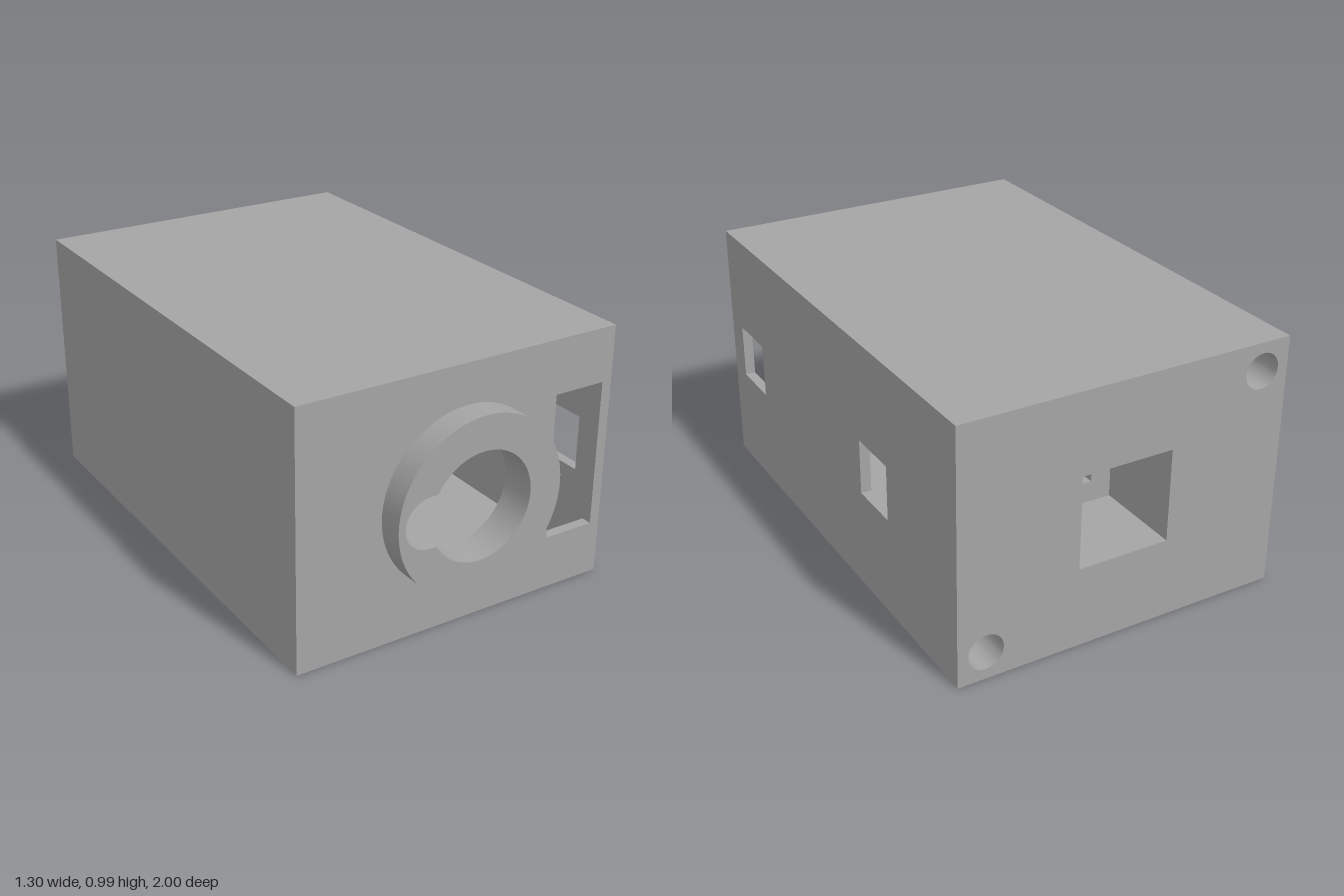
import * as THREE from 'three';
import { toCreasedNormals } from 'three/addons/utils/BufferGeometryUtils.js';

const W = 1.3, H = 0.987, T = 0.04;          // outer width, height, wall thickness
const BACK = -1, FRONT = 0.902;              // ends of the case
const CY = 0.494;                            // height of the central openings
const material = new THREE.MeshStandardMaterial({ color: 0xa5a5a5 });

// Closed rectangle between two corners
function rect(x0, y0, x1, y1, Type = THREE.Path) {
  const p = new Type();
  p.moveTo(x0, y0);
  p.lineTo(x1, y0);
  p.lineTo(x1, y1);
  p.lineTo(x0, y1);
  p.closePath();
  return p;
}

const square = (half, Type) => rect(-half, CY - half, half, CY + half, Type);

function circle(x, y, r, Type = THREE.Path) {
  const p = new Type();
  p.absarc(x, y, r, 0, Math.PI * 2, false);
  return p;
}

// Round bore with a rounded notch on its -x side
function keyhole() {
  const cx = 0.02, r = 0.208, notch = 0.098;
  const a = Math.PI - Math.asin(notch / r);
  const p = new THREE.Path();
  p.absarc(cx, CY, r, -a, a, false);
  p.absarc(-0.193, CY, notch, Math.PI / 2, Math.PI * 1.5, false);
  p.closePath();
  return p;
}

// Flat plate with holes, standing between two z values
function plate(shape, holes, z0, z1) {
  shape.holes.push(...holes);
  const g = new THREE.ExtrudeGeometry(shape, { depth: z1 - z0, bevelEnabled: false, curveSegments: 36 });
  g.translate(0, 0, z0);
  return toCreasedNormals(g, 0.6);
}

function block(x0, y0, z0, x1, y1, z1) {
  const g = new THREE.BoxGeometry(x1 - x0, y1 - y0, z1 - z0);
  g.translate((x0 + x1) / 2, (y0 + y1) / 2, (z0 + z1) / 2);
  return g;
}

export function createModel() {
  const model = new THREE.Group();
  model.name = 'hollowCase';
  const add = (name, geometry) => {
    const m = new THREE.Mesh(geometry, material);
    m.name = name;
    model.add(m);
  };
  const x = W / 2, zb = BACK + T, zf = FRONT - T;
  const outline = () => rect(-x, 0, x, H, THREE.Shape);
  const screws = [[0.541, 0.1085], [-0.541, H - 0.1085]];
  const screwHoles = screws.map(([sx, sy]) => circle(sx, sy, 0.068));

  // Case walls
  add('floor', block(-x, 0, zb, x, T, zf));
  add('ceiling', block(-x, H - T, zb, x, H, zf));
  add('rightWall', block(-x, T, zb, -x + T, H - T, zf));

  // Left wall with two windows, drawn flat with -z as its width and turned to face +x
  const windows = [[0.585, 0.8], [-0.51, -0.3]].map(([a, b]) => rect(-b, 0.388, -a, 0.602));
  const left = plate(rect(-zf, T, -zb, H - T, THREE.Shape), windows, x - T, x);
  left.rotateY(Math.PI / 2);
  add('leftWall', left);

  // Front and back plates
  add('frontWall', plate(outline(), [keyhole(), rect(0.402, 0.21, 0.61, 0.778)], zf, FRONT));
  add('backWall', plate(outline(), [square(0.18), ...screwHoles], BACK, zb));

  // Raised ring around the keyhole
  add('frontRing', plate(circle(0.02, CY, 0.339, THREE.Shape), [keyhole()], FRONT, 1));

  // Partition beside the front slot
  add('slotPartition', block(0.362, T, 0.688, 0.402, H - T, zf));

  // Square socket reaching inward from the back, with a smaller opening in its end
  add('socketSleeve', plate(square(0.22, THREE.Shape), [square(0.18)], zb, -0.65));
  add('socketEnd', plate(square(0.22, THREE.Shape), [square(0.098)], -0.65, -0.55));

  // Corner posts carrying the screw holes inward
  screws.forEach(([sx, sy], i) => {
    const s = Math.sign(sx), xs = [s * 0.44, s * (x - T)].sort((a, b) => a - b);
    const ys = s > 0 ? [T, 0.21] : [H - 0.21, H - T];
    const post = rect(xs[0], ys[0], xs[1], ys[1], THREE.Shape);
    add('screwPost', plate(post, [screwHoles[i]], zb, -0.69));
    add('screwPostEnd', block(xs[0], ys[0], -0.69, xs[1], ys[1], -0.65));
  });
  return model;
}
